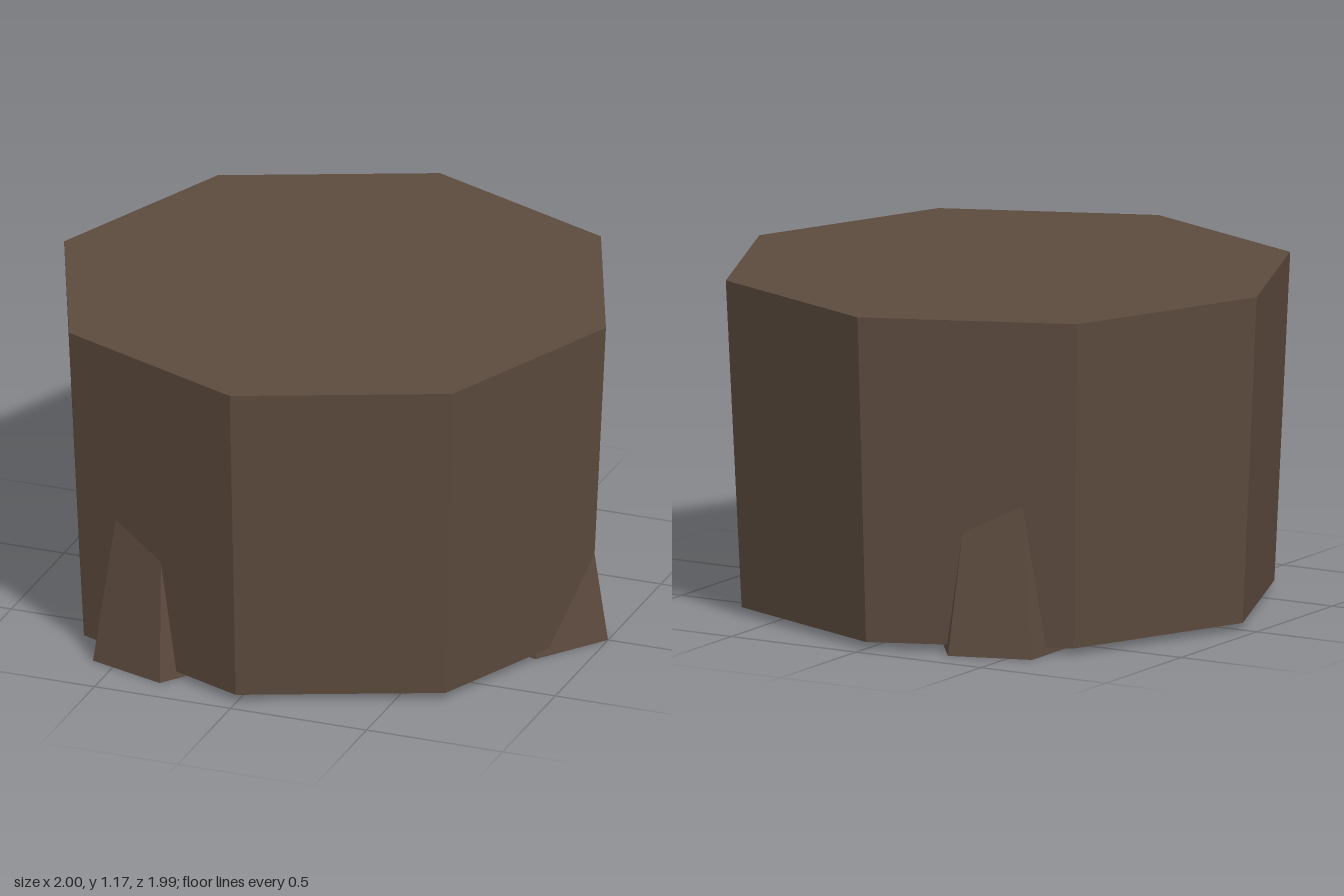
import * as THREE from 'three';

export function createModel() {
  const model = new THREE.Group();
  model.name = 'stump';
  const bark = new THREE.MeshStandardMaterial({ color: 0x5c4a3d });
  bark.name = 'brown bark';

  // A tapered prism standing on height y
  const taper = (name, topR, bottomR, height, sides, x, y, z) => {
    const geometry = new THREE.CylinderGeometry(topR, bottomR, height, sides).toNonIndexed();
    geometry.computeVertexNormals(); // flat facets
    const mesh = new THREE.Mesh(geometry, bark);
    mesh.name = name;
    mesh.position.set(x, y + height / 2, z);
    model.add(mesh);
    return mesh;
  };

  // Eight-sided trunk, wider at the top
  const centerX = -0.004;
  taper('trunk', 0.996, 0.94, 1.147, 8, centerX, 0.025, 0);

  // Three five-sided roots around the base, all with one corner facing +x
  const rootNames = ['leftRoot', 'frontRightRoot', 'backRightRoot'];
  rootNames.forEach((name, i) => {
    const a = (i * Math.PI * 2) / 3;
    const root = taper(name, 0.15, 0.2515, 0.65, 5,
      centerX + 0.752 * Math.cos(a), 0, 0.752 * Math.sin(a));
    root.rotation.y = Math.PI / 2;
  });

  return model;
}
